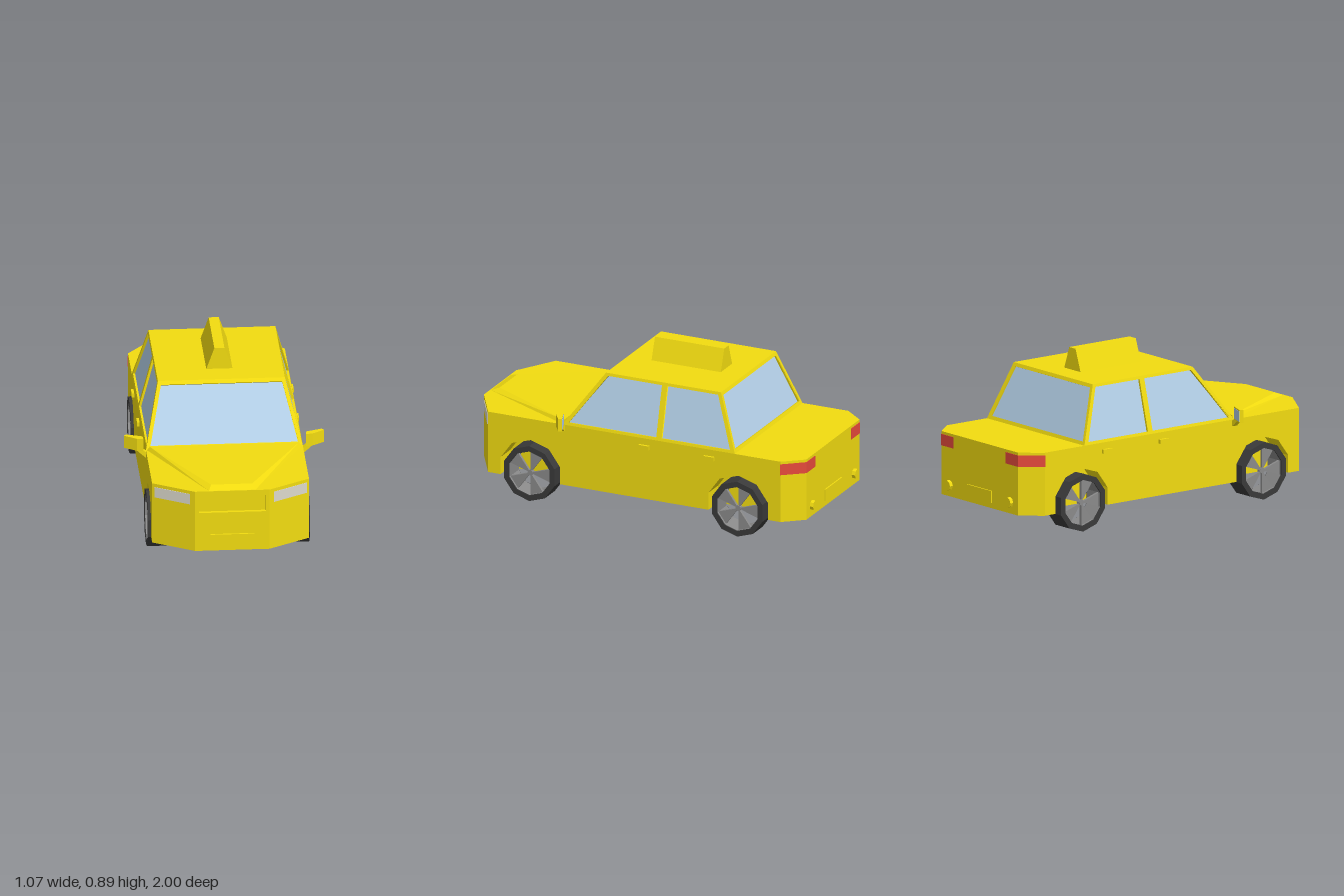
import * as THREE from 'three';
import { ConvexGeometry } from 'three/addons/geometries/ConvexGeometry.js';

const mat = (color, side = THREE.FrontSide) => new THREE.MeshStandardMaterial({ color, side, flatShading: true });
const V = (x, y, z) => new THREE.Vector3(x, y, z);
const shapeOf = pts => new THREE.Shape(pts.map(p => new THREE.Vector2(p[0], p[1])));
const extrude = (shape, depth, steps = 1) =>
  new THREE.ExtrudeGeometry(shape, { depth, steps, bevelEnabled: false });

export function createModel() {
  const car = new THREE.Group();
  car.name = 'taxi';
  const yellow = mat(0xf2dc10), glass = mat(0xb4d0e8, THREE.DoubleSide), red = mat(0xe64a3c);
  const lamp = mat(0xdcd9cc), rubber = mat(0x3a3a3a), metal = mat(0x8a8a8a);

  const add = (name, geo, m = yellow, parent = car) => {
    const mesh = new THREE.Mesh(geo, m);
    mesh.name = name;
    parent.add(mesh);
    return mesh;
  };
  const box = (name, w, h, d, x, y, z, m) => add(name, new THREE.BoxGeometry(w, h, d).translate(x, y, z), m);
  const hull = (name, pts, m) => add(name, new ConvexGeometry(pts.map(p => V(...p))), m);
  // Prism standing on a plan outline of [x, z] points
  const plan = (name, pts, y0, y1, m) => add(name,
    extrude(shapeOf(pts.map(([x, z]) => [x, -z])), y1 - y0).rotateX(-Math.PI / 2).translate(0, y0, 0), m);

  // Lower body core, in layers so that the grille is recessed
  const low = 0.12, deck = 0.465, inner = 0.3, half = 0.42;
  const frontZ = x => 0.86 + (half - x) / 0.22 * 0.13;
  const rearZ = x => -0.98 + Math.max(0, x - 0.33) / 0.09 * 0.11;
  const notch = [[0.18, 0.99], [0.18, 0.97], [-0.18, 0.97], [-0.18, 0.99]];
  [[low, 0.34, []], [0.34, 0.435, notch], [0.435, deck, []]].forEach(([y0, y1, cut]) =>
    plan('bodyCore', [[inner, -0.98], [inner, frontZ(inner)], [0.2, 0.99], ...cut,
      [-0.2, 0.99], [-inner, frontZ(inner)], [-inner, -0.98]], y0, y1));

  // Body sides with wheel arches, ends following the tapered corners
  const axles = [0.61, -0.62];
  for (const s of [1, -1]) {
    const pts = [[-0.9, deck], [-0.9, low]];
    for (const c of [...axles].reverse()) {
      pts.push([c - 0.176, low]);
      for (let a = 162; a >= 18; a -= 36) {
        const t = a * Math.PI / 180;
        pts.push([c + 0.185 * Math.cos(t), 0.16 + 0.185 * Math.sin(t)]);
      }
      pts.push([c + 0.176, low]);
    }
    pts.push([0.9, low], [0.9, deck]);
    const geo = extrude(shapeOf(pts.map(([z, y]) => [-s * z, y])), half - inner, 4)
      .rotateY(s * Math.PI / 2).translate(s * inner, 0, 0);
    const p = geo.attributes.position;
    for (let i = 0; i < p.count; i++) {
      const x = Math.abs(p.getX(i)), z = p.getZ(i);
      if (z > 0.85) p.setZ(i, frontZ(x));
      if (z < -0.85) p.setZ(i, rearZ(x));
    }
    geo.computeVertexNormals();
    add('bodySide', geo);
  }

  // Raised bonnet with sloping edges
  hull('bonnet', [1, -1].flatMap(s => [[s * 0.415, deck, 0.42], [s * 0.125, deck, 0.985],
    [s * 0.4, 0.485, 0.42], [s * 0.11, 0.482, 0.94]]));

  // Cabin walls: points are [along wall, fraction of height]
  const wall = (name, bottom, top, U, outline, windows) => {
    const up = top.clone().sub(bottom), len = up.length();
    up.normalize();
    const m = new THREE.Matrix4().makeBasis(U, up, U.clone().cross(up)).setPosition(bottom);
    const scaled = pts => shapeOf(pts.map(([u, h]) => [u, h * len]));
    const frame = scaled(outline);
    frame.holes = windows.map(scaled);
    add(name + 'Frame', extrude(frame, 0.02).translate(0, 0, -0.02).applyMatrix4(m));
    windows.forEach(w => add(name + 'Glass',
      new THREE.ShapeGeometry(scaled(w)).translate(0, 0, -0.012).applyMatrix4(m), glass));
  };
  const roof = 0.77;
  const endFrame = [[-0.42, 0], [0.42, 0], [0.34, 1], [-0.34, 1]];
  const endWindow = [[-0.4, 0.06], [0.4, 0.06], [0.325, 0.94], [-0.325, 0.94]];
  wall('windscreen', V(0, deck, 0.42), V(0, roof, 0.2), V(1, 0, 0), endFrame, [endWindow]);
  wall('rearWindow', V(0, deck, -0.6), V(0, roof, -0.48), V(-1, 0, 0), endFrame, [endWindow]);
  for (const s of [1, -1]) {
    const flip = pts => pts.map(([z, h]) => [-s * z, h]);
    wall('sideWindow', V(s * 0.42, deck, 0), V(s * 0.34, roof, 0), V(0, 0, -s),
      flip([[0.42, 0], [0.2, 1], [-0.48, 1], [-0.6, 0]]),
      [flip([[0.39, 0.05], [0.185, 0.95], [-0.133, 0.95], [-0.133, 0.05]]),
        flip([[-0.165, 0.05], [-0.165, 0.95], [-0.465, 0.95], [-0.57, 0.05]])]);
  }
  box('roof', 0.68, 0.015, 0.68, 0, roof - 0.0075, -0.14);

  // Roof sign
  hull('roofSign', [0.06, -0.35].flatMap(z => [1, -1].flatMap(s =>
    [[s * 0.07, roof, z], [s * 0.027, 0.89, z]])));

  // Number plates
  box('frontPlate', 0.235, 0.065, 0.02, 0, 0.183, 0.99);
  box('rearPlate', 0.21, 0.065, 0.02, 0, 0.183, -0.977);

  for (const s of [1, -1]) {
    // Lamps wrapped on the corners
    const e = 0.003;
    plan('headlight', [[s * 0.225, frontZ(0.225) + e], [s * 0.408, frontZ(0.408) + e],
      [s * 0.39, frontZ(0.39) - 0.02], [s * 0.225, frontZ(0.225) - 0.02]], 0.387, 0.446, lamp);
    plan('tailLight', [[s * 0.225, -0.98 - e], [s * 0.331, -0.98 - e], [s * (0.42 + e), -0.868],
      [s * 0.4, -0.868], [s * 0.32, -0.96], [s * 0.225, -0.96]], 0.388, 0.45, red);

    // Exhaust pipes
    const pipe = extrude(new THREE.Shape().absarc(0, 0, 0.028, 0, Math.PI * 2), 0.03);
    pipe.dispose();
    add('exhaust', new THREE.CylinderGeometry(0.028, 0.028, 0.03, 8).rotateX(Math.PI / 2)
      .translate(s * 0.26, 0.182, -0.985));
    add('exhaustTip', new THREE.CylinderGeometry(0.016, 0.016, 0.02, 8).rotateX(Math.PI / 2)
      .translate(s * 0.26, 0.182, -0.99));

    // Door handles
    for (const z of [-0.065, -0.45]) box('doorHandle', 0.02, 0.023, 0.06, s * 0.424, 0.417, z);

    // Wing mirrors
    const plane = [[0.435, 0.44], [0.47, 0.435], [0.535, 0.39], [0.525, 0.373], [0.437, 0.405]];
    plan('mirrorHousing', plane.map(([x, z]) => [s * x, z]), 0.47, 0.54);
    plan('mirrorGlass', [[s * 0.52, 0.373], [s * 0.442, 0.401], [s * 0.444, 0.406], [s * 0.522, 0.378]],
      0.476, 0.534, glass);
    hull('mirrorArm', [0.405, 0.435].flatMap(z => [[s * 0.415, 0.43, z], [s * 0.415, 0.455, z],
      [s * 0.437, 0.472, z], [s * 0.47, 0.472, z], [s * 0.425, 0.43, z]]));

    // Wheels: ten-sided tyre, lighter rim and five wedge spokes
    for (const z of axles) {
      const wheel = new THREE.Group();
      wheel.name = 'wheel';
      wheel.position.set(s * 0.373, 0.157, z);
      car.add(wheel);
      const ring = pts => new THREE.LatheGeometry(pts.map(p => new THREE.Vector2(p[0], p[1])),
        10, Math.PI / 2).rotateZ(Math.PI / 2);
      const w = 0.061;
      add('tyre', ring([[0.126, -w], [0.157, -w], [0.157, w], [0.126, w], [0.126, -w]]), rubber, wheel);
      add('rim', ring([[0.124, w - 0.004], [0.124, 0.004 - w]]), metal, wheel);
      for (let i = 0; i < 5; i++) {
        const a = (54 + 72 * i) * Math.PI / 180, b = a + Math.PI / 5, r = 0.126;
        const spoke = shapeOf([[0, 0], [r * Math.cos(a), r * Math.sin(a)], [r * Math.cos(b), r * Math.sin(b)]]);
        add('spoke', extrude(spoke, 0.015).rotateY(s * Math.PI / 2).translate(s * 0.03, 0, 0), metal, wheel);
      }
      add('hub', new THREE.CylinderGeometry(0.016, 0.016, 0.022, 10).rotateZ(Math.PI / 2)
        .translate(s * 0.037, 0, 0), metal, wheel);
    }
  }
  return car;
}
